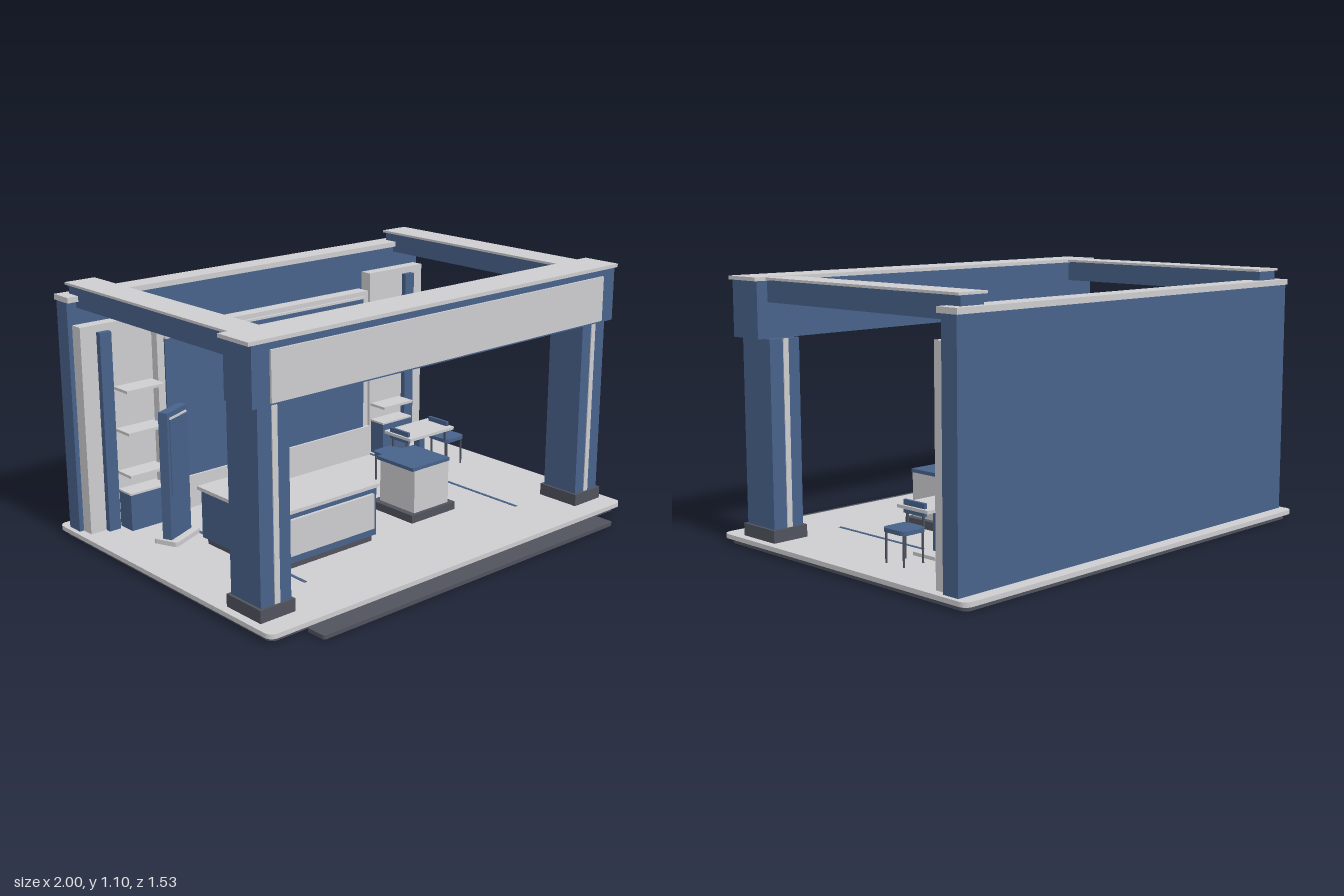
import * as THREE from 'three';

const mat = (name, color) => {
  const m = new THREE.MeshStandardMaterial({ color });
  m.name = name;
  return m;
};

export function createModel() {
  const root = new THREE.Group();
  root.name = 'exhibitionBooth';
  const navy = mat('navy', 0x48628a);
  const light = mat('lightGrey', 0xcdcdd0);
  const dark = mat('charcoal', 0x50525d);

  const add = (parent, name, geo, m) => {
    const mesh = new THREE.Mesh(geo, m);
    mesh.name = name;
    parent.add(mesh);
    return mesh;
  };
  // Box given by its limits on each axis
  const box = (name, m, x0, x1, y0, y1, z0, z1, parent = root) => {
    const mesh = add(parent, name, new THREE.BoxGeometry(x1 - x0, y1 - y0, z1 - z0), m);
    mesh.position.set((x0 + x1) / 2, (y0 + y1) / 2, (z0 + z1) / 2);
    return mesh;
  };
  // The same box on both sides
  const pair = (name, m, x0, x1, ...rest) => {
    box(name + 'Left', m, x0, x1, ...rest);
    box(name + 'Right', m, -x1, -x0, ...rest);
  };
  // Flat slab with rounded plan corners
  const slab = (name, m, x0, x1, y0, y1, z0, z1, r, parent = root) => {
    const s = new THREE.Shape();
    s.moveTo(x0 + r, -z1);
    s.lineTo(x1 - r, -z1);
    s.absarc(x1 - r, -z1 + r, r, -Math.PI / 2, 0);
    s.absarc(x1 - r, -z0 - r, r, 0, Math.PI / 2);
    s.absarc(x0 + r, -z0 - r, r, Math.PI / 2, Math.PI);
    s.absarc(x0 + r, -z1 + r, r, Math.PI, Math.PI * 1.5);
    const g = new THREE.ExtrudeGeometry(s, { depth: y1 - y0, bevelEnabled: false, curveSegments: 6 });
    g.rotateX(-Math.PI / 2);
    g.translate(0, y0, 0);
    return add(parent, name, g, m);
  };

  // Platform, step and floor lines
  slab('platformBase', dark, -0.98, 0.98, 0, 0.021, -0.745, 0.65, 0.03);
  slab('floor', light, -1, 1, 0.021, 0.04, -0.765, 0.672, 0.035);
  slab('frontStep', dark, -0.828, 0.822, 0.002, 0.018, 0.665, 0.765, 0.015);
  pair('floorLine', navy, 0.599, 0.613, 0.038, 0.042, -0.6, 0.4);

  // Front columns with light inlays
  pair('columnBase', dark, 0.8, 0.965, 0.04, 0.092, 0.37, 0.572);
  pair('column', navy, 0.81, 0.953, 0.092, 0.856, 0.383, 0.56);
  pair('columnInlayFront', light, 0.865, 0.89, 0.092, 0.856, 0.56, 0.564);
  pair('columnInlayBack', light, 0.865, 0.89, 0.092, 0.856, 0.379, 0.383);

  // Front fascia and side beams
  box('fascia', navy, -0.985, 0.985, 0.856, 1.085, 0.415, 0.575);
  box('fasciaPanel', light, -0.905, 0.905, 0.865, 1.058, 0.575, 0.584);
  box('fasciaCap', light, -1, 1, 1.085, 1.1, 0.405, 0.58);
  pair('sideBeam', navy, 0.825, 0.935, 1, 1.088, -0.68, 0.415);
  pair('sideBeamCap', light, 0.81, 0.95, 1.088, 1.098, -0.685, 0.405);

  // Back wall
  box('backWall', navy, -0.98, 0.98, 0.04, 1.027, -0.707, -0.63);
  box('backWallCap', light, -0.985, 0.985, 1.027, 1.05, -0.715, -0.612);

  // Large screen in its frame, with a low panel under it
  box('screenFrame', light, -0.6, 0.6, 0.185, 0.852, -0.63, -0.563);
  box('screen', navy, -0.565, 0.565, 0.187, 0.82, -0.563, -0.556);
  box('screenTopRail', light, -0.565, 0.565, 0.82, 0.83, -0.563, -0.55);
  box('lowPanel', light, -0.6, 0.6, 0.04, 0.187, -0.63, -0.545);

  // Display walls with shelves and cabinets
  pair('displayPanel', light, 0.62, 0.96, 0.04, 0.93, -0.63, -0.572);
  pair('displayStrip', navy, 0.83, 0.885, 0.04, 0.9, -0.572, -0.546);
  for (const y of [0.277, 0.463, 0.645]) {
    pair('shelf', light, 0.628, 0.815, y, y + 0.012, -0.572, -0.475);
  }
  pair('cabinet', navy, 0.632, 0.812, 0.04, 0.2, -0.572, -0.487);
  pair('cabinetTop', light, 0.628, 0.816, 0.2, 0.208, -0.572, -0.482);

  // L-shaped reception counter
  const counter = new THREE.Group();
  counter.name = 'receptionCounter';
  root.add(counter);
  box('plinth', dark, -0.655, -0.135, 0.04, 0.07, 0.09, 0.262, counter);
  box('plinthWing', dark, -0.655, -0.53, 0.04, 0.07, -0.165, 0.09, counter);
  box('body', navy, -0.672, -0.122, 0.07, 0.278, 0.085, 0.277, counter);
  box('bodyWing', navy, -0.672, -0.515, 0.07, 0.278, -0.178, 0.085, counter);
  box('frontPanel', light, -0.65, -0.145, 0.105, 0.257, 0.277, 0.291, counter);
  box('top', light, -0.685, -0.11, 0.278, 0.293, 0.07, 0.283, counter);
  box('topWing', light, -0.685, -0.5, 0.278, 0.293, -0.19, 0.07, counter);

  // Display podium
  const podium = new THREE.Group();
  podium.name = 'podium';
  root.add(podium);
  box('base', dark, 0.122, 0.382, 0.04, 0.075, -0.02, 0.24, podium);
  box('body', light, 0.15, 0.355, 0.075, 0.265, 0.01, 0.223, podium);
  box('cap', navy, 0.14, 0.362, 0.265, 0.28, -0.002, 0.222, podium);

  // Turned information kiosk
  const kiosk = new THREE.Group();
  kiosk.name = 'kiosk';
  kiosk.position.set(-0.712, 0, -0.303);
  kiosk.rotation.y = 0.4;
  root.add(kiosk);
  slab('base', light, -0.092, 0.092, 0.04, 0.06, -0.056, 0.056, 0.012, kiosk);
  box('tower', navy, -0.077, 0.077, 0.06, 0.605, -0.021, 0.021, kiosk);
  box('display', navy, -0.063, 0.063, 0.25, 0.575, 0.021, 0.026, kiosk);
  box('displayTrim', light, -0.063, 0.063, 0.575, 0.583, 0.021, 0.027, kiosk);

  // Meeting table
  const table = new THREE.Group();
  table.name = 'table';
  root.add(table);
  slab('top', light, 0.47, 0.755, 0.236, 0.249, -0.308, -0.13, 0.006, table);
  box('leg', navy, 0.595, 0.63, 0.054, 0.236, -0.236, -0.2, table);
  box('foot', light, 0.53, 0.695, 0.04, 0.054, -0.28, -0.155, table);

  // Chairs, built with the backrest on the -x side
  const chair = (name, x, turn) => {
    const g = new THREE.Group();
    g.name = name;
    g.position.set(x, 0, -0.218);
    g.rotation.y = turn;
    root.add(g);
    slab('seat', navy, -0.06, 0.06, 0.163, 0.18, -0.063, 0.063, 0.025, g);
    box('backrest', navy, -0.062, -0.049, 0.218, 0.27, -0.06, 0.06, g);
    for (const s of [-1, 1]) {
      box('backPost', dark, -0.06, -0.052, 0.175, 0.23, s * 0.045 - 0.004, s * 0.045 + 0.004, g);
      for (const lx of [-0.048, 0.048]) {
        const leg = add(g, 'chairLeg', new THREE.CylinderGeometry(0.0045, 0.0045, 0.125, 8), dark);
        leg.position.set(lx, 0.1025, s * 0.05);
      }
    }
  };
  chair('chairLeft', 0.793, 0);
  chair('chairRight', 0.43, Math.PI);

  return root;
}
